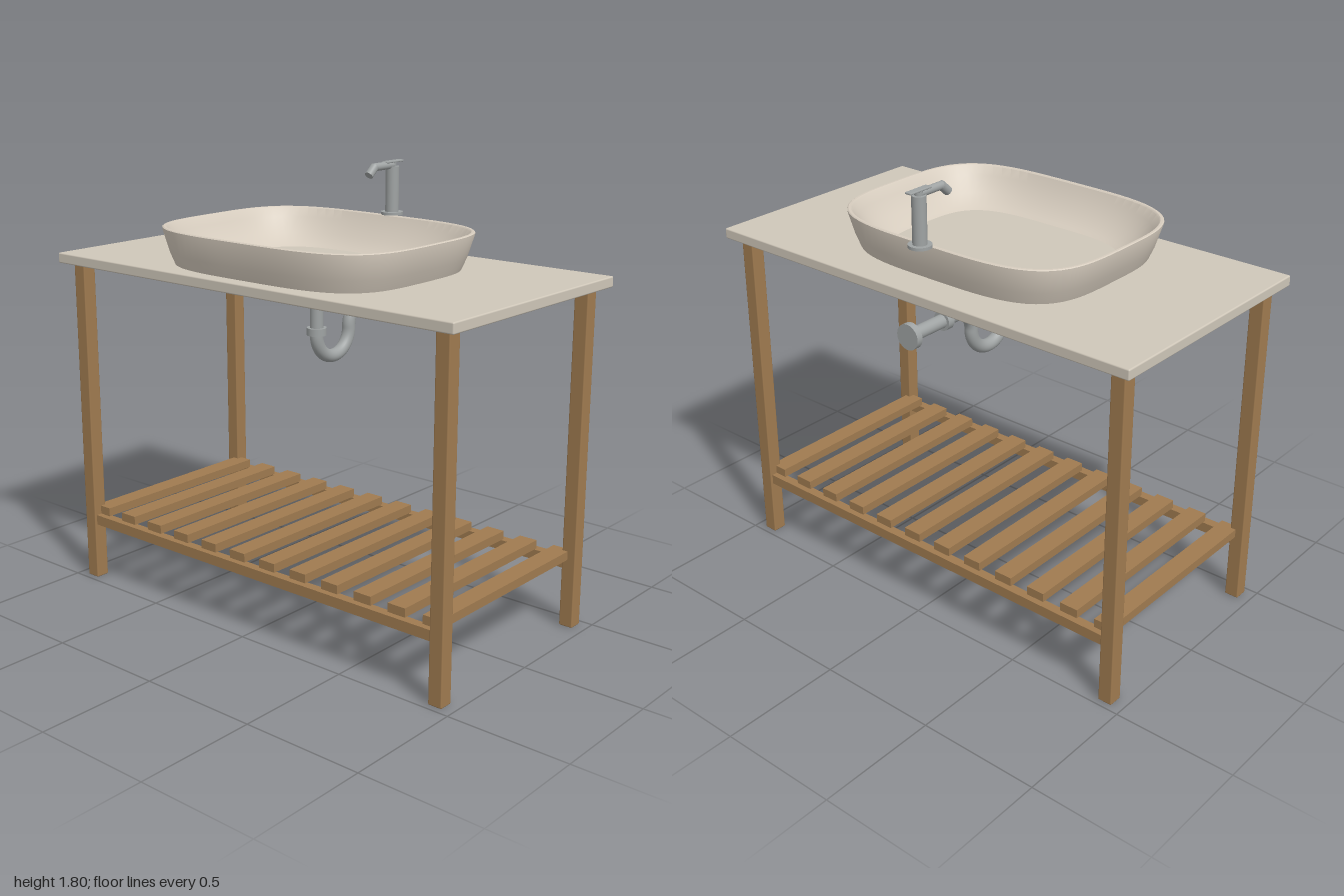
import * as THREE from 'three';
import { toCreasedNormals } from 'three/addons/utils/BufferGeometryUtils.js';
import { RoundedBoxGeometry } from 'three/addons/geometries/RoundedBoxGeometry.js';

const mat = (name, color) => {
  const m = new THREE.MeshStandardMaterial({ color });
  m.name = name;
  return m;
};

// Rounded-rectangle loops [y, halfX, halfZ, centreZ] skinned from the outer base over the rim to the floor
function loftLoops(loops, power, sides) {
  const pos = [], idx = [];
  for (const [y, hx, hz, cz] of loops) {
    for (let i = 0; i < sides; i++) {
      const a = (i / sides) * Math.PI * 2, c = Math.cos(a), s = Math.sin(a);
      const r = Math.pow(Math.abs(c) ** power + Math.abs(s) ** power, -1 / power);
      pos.push(hx * r * c, y, cz + hz * r * s);
    }
  }
  for (let k = 0; k < loops.length - 1; k++) {
    for (let i = 0; i < sides; i++) {
      const j = (i + 1) % sides;
      const a = k * sides + i, b = a + sides, c = k * sides + j, d = c + sides;
      if (loops[k][1] > 0) idx.push(a, b, c);
      if (loops[k + 1][1] > 0) idx.push(c, b, d);
    }
  }
  const g = new THREE.BufferGeometry();
  g.setAttribute('position', new THREE.Float32BufferAttribute(pos, 3));
  g.setIndex(idx);
  return toCreasedNormals(g, 0.45);
}

export function createModel() {
  const root = new THREE.Group();
  root.name = 'washstand';
  const wood = mat('wood', 0xa07b50);
  const stone = mat('stone', 0xcfc7b9);
  const ceramic = mat('ceramic', 0xd6ccbe);
  const metal = mat('metal', 0x9fa3a3);

  const add = (parent, name, geo, material, x = 0, y = 0, z = 0) => {
    const m = new THREE.Mesh(geo, material);
    m.name = name;
    m.position.set(x, y, z);
    parent.add(m);
    return m;
  };
  const group = (name) => {
    const g = new THREE.Group();
    g.name = name;
    root.add(g);
    return g;
  };
  // Upright cylinder between two heights, or a level one between two depths
  const upright = (p, name, r, y0, y1, z) =>
    add(p, name, new THREE.CylinderGeometry(r, r, y1 - y0, 32), metal, 0, (y0 + y1) / 2, z);
  const level = (p, name, r, z0, z1, y) => {
    const m = add(p, name, new THREE.CylinderGeometry(r, r, z1 - z0, 32), metal, 0, y, (z0 + z1) / 2);
    m.rotation.x = Math.PI / 2;
  };

  // Countertop
  add(root, 'countertop', new RoundedBoxGeometry(2, 0.043, 1.04, 2, 0.006), stone, 0, 1.409, 0);

  // Frame: legs, long rails and shelf slats
  const frame = group('frame');
  const legGeo = new RoundedBoxGeometry(0.06, 1.39, 0.06, 2, 0.005);
  for (const z of [-1, 1]) {
    for (const x of [-1, 1]) add(frame, 'leg', legGeo, wood, x * 0.925, 0.695, z * 0.445);
    add(frame, 'rail', new THREE.BoxGeometry(1.8, 0.043, 0.04), wood, 0, 0.265, z * 0.445);
  }
  const slatGeo = new THREE.BoxGeometry(0.08, 0.036, 0.88);
  for (let i = 0; i < 12; i++) add(frame, 'slat', slatGeo, wood, -0.88 + i * 0.16, 0.305, 0);

  // Vessel basin
  const cz = 0.043;
  add(root, 'basin', loftLoops([
    [1.38, 0, 0, cz],
    [1.38, 0.425, 0.34, cz],
    [1.387, 0.455, 0.363, cz],
    [1.405, 0.497, 0.393, cz],
    [1.43, 0.528, 0.418, cz],
    [1.48, 0.549, 0.433, cz],
    [1.572, 0.577, 0.452, cz],
    [1.577, 0.577, 0.452, cz],
    [1.58, 0.573, 0.448, cz],
    [1.58, 0.565, 0.44, cz],
    [1.576, 0.56, 0.435, cz],
    [1.54, 0.54, 0.418, cz],
    [1.48, 0.494, 0.377, cz],
    [1.44, 0.445, 0.335, cz - 0.004],
    [1.41, 0.382, 0.28, cz - 0.008],
    [1.41, 0, 0, cz - 0.008],
  ], 3.7, 96), ceramic);

  // Faucet: body, bent spout and flat lever
  const faucet = group('faucet');
  const fz = -0.434;
  upright(faucet, 'faucetBase', 0.046, 1.578, 1.59, fz);
  upright(faucet, 'faucetBody', 0.028, 1.59, 1.777, fz);
  upright(faucet, 'leverStem', 0.016, 1.777, 1.793, fz);
  level(faucet, 'spoutArm', 0.016, fz, -0.315, 1.782);
  add(faucet, 'spoutElbow', new THREE.SphereGeometry(0.016, 24, 16), metal, 0, 1.782, -0.315);
  const tip = add(faucet, 'spoutTip', new THREE.CylinderGeometry(0.018, 0.018, 0.05, 32), metal, 0, 1.768, -0.298);
  tip.rotation.x = -0.85 + Math.PI;
  add(faucet, 'lever', new RoundedBoxGeometry(0.03, 0.008, 0.11, 2, 0.003), metal, 0, 1.796, -0.436);

  // Drain trap: tailpipe, U bend and wall outlet
  const trap = group('drainTrap');
  const pz = 0.045, py = 1.243, R = 0.1, mid = pz - R, back = pz - 2 * R;
  const V = (y, z) => new THREE.Vector3(0, y, z);
  const path = new THREE.CurvePath();
  const k = 0.5523, yb = 1.147, rb = 0.09;
  path.add(new THREE.LineCurve3(V(1.38, pz), V(yb, pz)));
  path.add(new THREE.CubicBezierCurve3(V(yb, pz), V(yb - k * R, pz), V(yb - R, mid + k * R), V(yb - R, mid)));
  path.add(new THREE.CubicBezierCurve3(V(yb - R, mid), V(yb - R, mid - k * R), V(yb - k * R, back), V(yb, back)));
  path.add(new THREE.LineCurve3(V(yb, back), V(py - rb, back)));
  path.add(new THREE.CubicBezierCurve3(V(py - rb, back), V(py - rb + k * rb, back),
    V(py, back - rb + k * rb), V(py, back - rb)));
  path.add(new THREE.LineCurve3(V(py, back - rb), V(py, -0.5)));
  add(trap, 'trapPipe', new THREE.TubeGeometry(path, 120, 0.027, 24, false), metal);
  upright(trap, 'drainCollar', 0.043, 1.372, 1.386, pz);
  upright(trap, 'trapNut', 0.04, 1.15, 1.18, pz);
  level(trap, 'outletNut', 0.039, -0.326, -0.296, py);
  level(trap, 'wallFlange', 0.052, -0.515, -0.488, py);

  return root;
}
